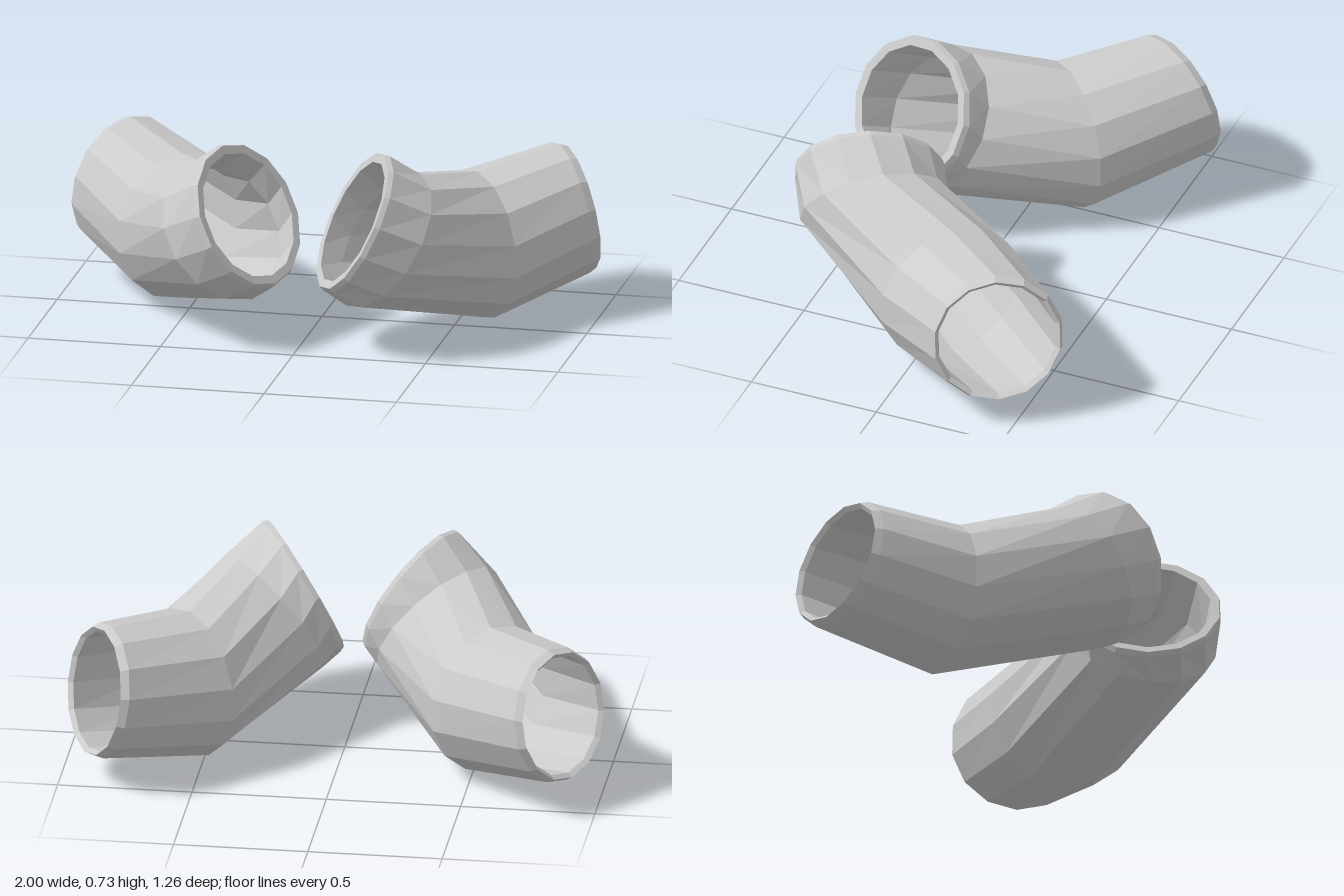
import * as THREE from 'three';

const SIDES = 14;
const material = new THREE.MeshStandardMaterial({ color: 0xcccccc, flatShading: true });

// Cross-sections from the rear opening to the front opening and back along the lining:
// centre, axis direction, radius
const REAR = [-0.85, -0.17, 0.5];
const ELBOW = [-0.73, 0, 0.68];
const CUFF = [-0.68, 0.55, 0.5];
const FRONT = [-0.81, 0.45, 0.37];
const RINGS = [
  [[0.873, 0.355, -0.432], REAR, 0.238],
  [[0.848, 0.352, -0.415], REAR, 0.252],
  [[0.56, 0.28, -0.12], ELBOW, 0.28],
  [[0.30, 0.405, 0.305], CUFF, 0.278],
  [[0.21, 0.48, 0.36], FRONT, 0.28],
  [[0.195, 0.49, 0.37], FRONT, 0.272],
  [[0.197, 0.489, 0.369], FRONT, 0.24],
  [[0.30, 0.405, 0.305], CUFF, 0.245],
  [[0.56, 0.28, -0.12], ELBOW, 0.25],
  [[0.86, 0.353, -0.424], REAR, 0.222],
];

// Closed, bent tube skinned over the rings; side = 1 for left, -1 for right
function sleeveGeometry(side) {
  const positions = [];
  const index = [];
  for (const [c, n, radius] of RINGS) {
    const centre = new THREE.Vector3(c[0] * side, c[1], c[2]);
    const axis = new THREE.Vector3(n[0] * side, n[1], n[2]).normalize();
    const up = new THREE.Vector3(0, 1, 0).projectOnPlane(axis).normalize();
    const across = new THREE.Vector3().crossVectors(axis, up);
    for (let j = 0; j < SIDES; j++) {
      const t = (j / SIDES) * Math.PI * 2;
      const p = centre.clone()
        .addScaledVector(up, radius * Math.cos(t))
        .addScaledVector(across, radius * Math.sin(t));
      positions.push(p.x, p.y, p.z);
    }
  }
  for (let i = 0; i < RINGS.length; i++) {
    const next = (i + 1) % RINGS.length;
    for (let j = 0; j < SIDES; j++) {
      const k = (j + 1) % SIDES;
      const a = i * SIDES + j, b = i * SIDES + k;
      const c = next * SIDES + j, d = next * SIDES + k;
      index.push(a, b, c, b, d, c);
    }
  }
  const geometry = new THREE.BufferGeometry();
  geometry.setAttribute('position', new THREE.Float32BufferAttribute(positions, 3));
  geometry.setIndex(index);
  const flat = geometry.toNonIndexed();
  flat.computeVertexNormals();
  return flat;
}

export function createModel() {
  const model = new THREE.Group();
  model.name = 'sleevePair';
  for (const [name, side] of [['leftSleeve', 1], ['rightSleeve', -1]]) {
    const sleeve = new THREE.Mesh(sleeveGeometry(side), material);
    sleeve.name = name;
    model.add(sleeve);
  }
  return model;
}
